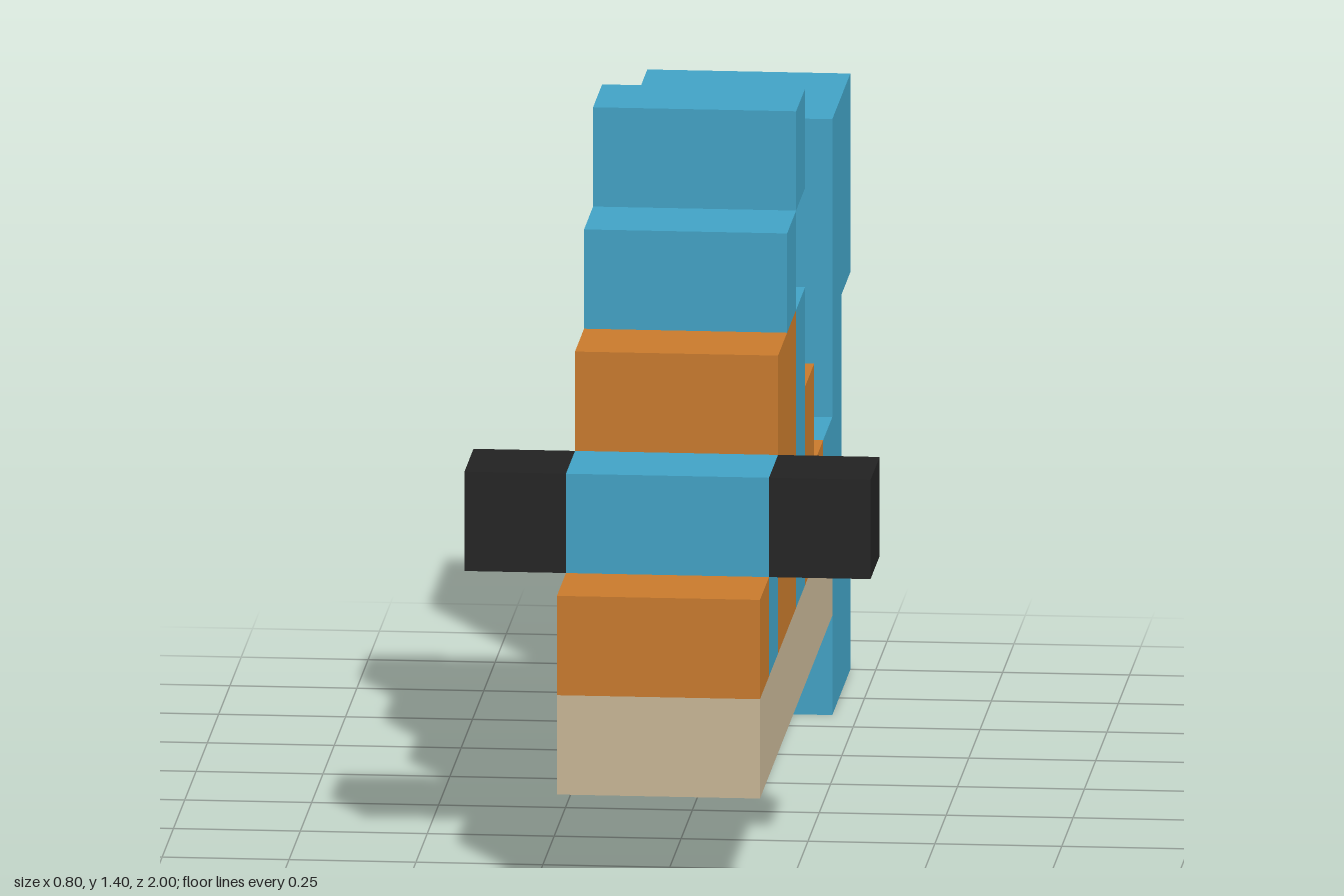
import * as THREE from 'three';

const mat = (name, color) => {
  const m = new THREE.MeshStandardMaterial({ color });
  m.name = name;
  return m;
};

export function createModel() {
  const group = new THREE.Group();
  group.name = 'blockAircraft';
  const blue = mat('blue', 0x41a2c5);
  const orange = mat('orange', 0xc87a2c);
  const tan = mat('tan', 0xc8b696);
  const black = mat('black', 0x222222);

  // Side profile given as [z, y] points, extruded across the body width
  const slab = (name, material, points, width = 0.4, x = 0) => {
    const shape = new THREE.Shape(points.map(([z, y]) => new THREE.Vector2(z, y)));
    const geo = new THREE.ExtrudeGeometry(shape, { depth: width, bevelEnabled: false });
    geo.translate(0, 0, -width / 2).rotateY(-Math.PI / 2).translate(x, 0, 0);
    const mesh = new THREE.Mesh(geo, material);
    mesh.name = name;
    group.add(mesh);
  };
  const block = (name, material, z0, z1, y0, y1, width, x) =>
    slab(name, material, [[z0, y0], [z1, y0], [z1, y1], [z0, y1]], width, x);

  // Keel and nose
  block('keel', tan, -0.6, 1, 0.2, 0.4);
  block('nose', orange, 0.8, 1, 0.4, 0.6);

  // Front crossbar with dark ends
  block('crossbar', blue, 0.6, 0.8, 0.4, 0.8);
  for (const [name, side] of [['leftBarEnd', 1], ['rightBarEnd', -1]])
    block(name, black, 0.6, 0.8, 0.6, 0.8, 0.2, side * 0.3);

  // Body, from front to back
  block('frontBody', orange, 0.2, 0.6, 0.4, 1);
  block('bodyBand', blue, 0, 0.2, 0.4, 1);
  slab('rearBody', orange, [[-0.4, 0.4], [0, 0.4], [0, 0.8], [-0.2, 0.8], [-0.2, 0.6], [-0.4, 0.6]]);
  block('tailJoint', blue, -0.6, -0.4, 0.4, 0.6);

  // Stepped crest, the two blocks meeting along one edge
  block('lowerCrest', blue, 0.2, 0.4, 1, 1.2);
  block('upperCrest', blue, 0, 0.2, 1.2, 1.4);

  // C-shaped tail fin, open to the rear
  slab('tailFin', blue, [
    [-1, 0], [-0.6, 0], [-0.6, 1.2], [-1, 1.2],
    [-1, 0.8], [-0.8, 0.8], [-0.8, 0.4], [-1, 0.4],
  ]);

  return group;
}
